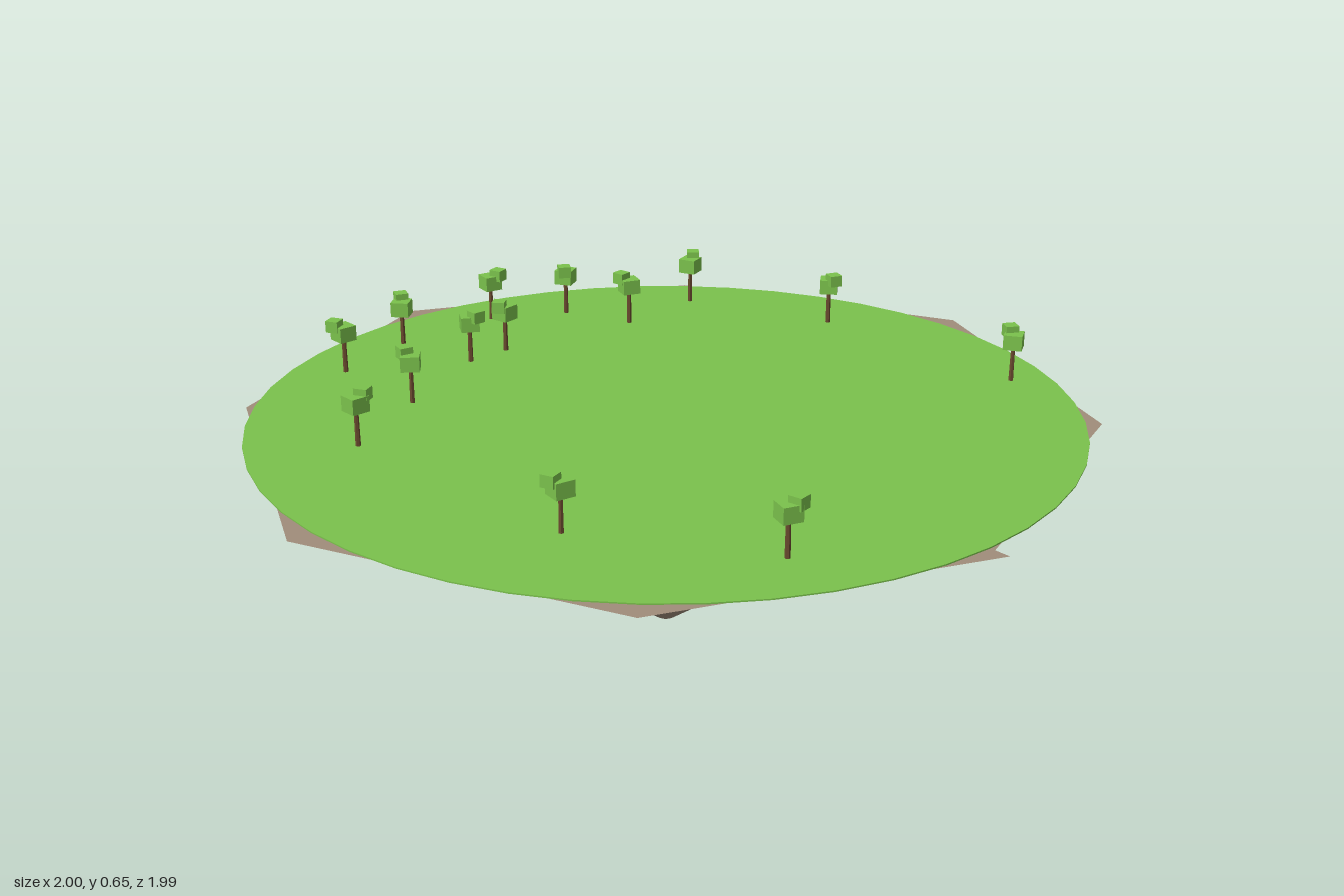
import * as THREE from 'three';

const rock = new THREE.MeshStandardMaterial({ color: 0xa08d7b, flatShading: true, side: THREE.DoubleSide });
rock.name = 'rock';
const grass = new THREE.MeshStandardMaterial({ color: 0x7bc24c, flatShading: true });
grass.name = 'grass';
const bark = new THREE.MeshStandardMaterial({ color: 0x6b4a2f, flatShading: true });
bark.name = 'bark';

function add(parent, name, geometry, material, x = 0, y = 0, z = 0) {
  const mesh = new THREE.Mesh(geometry, material);
  mesh.name = name;
  mesh.position.set(x, y, z);
  parent.add(mesh);
  return mesh;
}

// Eight-sided pointed underside; corners vary a little and the front seam is slightly open
function rockGeometry() {
  const profile = [[0, 0], [0.02, 0], [0.2, 0.13], [0.5, 0.32], [0.86, 0.45], [1, 0.51], [0, 0.51]];
  const spread = [0.955, 0.982, 1, 0.965, 1, 0.965, 1, 0.995, 0.992];
  const geometry = new THREE.LatheGeometry(profile.map(p => new THREE.Vector2(...p)), 8);
  const pos = geometry.attributes.position;
  const n = profile.length;
  for (let i = 0; i < pos.count; i++) {
    const s = spread[Math.floor(i / n)];
    pos.setX(i, pos.getX(i) * s);
    pos.setZ(i, pos.getZ(i) * s);
  }
  geometry.computeVertexNormals();
  return geometry;
}

// Thin trunk with a large and a small leaf block
function makeTree(x, z, turn, lean) {
  const tree = new THREE.Group();
  tree.name = 'tree';
  tree.position.set(x, 0.513, z);
  tree.rotation.y = turn;
  add(tree, 'trunk', new THREE.CylinderGeometry(0.005, 0.006, 0.09, 6), bark, 0, 0.045, 0);
  add(tree, 'leafBlock', new THREE.BoxGeometry(0.044, 0.036, 0.044), grass, 0, 0.1, 0);
  const top = add(tree, 'smallLeafBlock', new THREE.BoxGeometry(0.031, 0.028, 0.031), grass,
    lean[0], 0.119, lean[1]);
  top.rotation.y = 0.5;
  return tree;
}

export function createModel() {
  const model = new THREE.Group();
  model.name = 'floatingIsland';
  add(model, 'rockBase', rockGeometry(), rock);
  add(model, 'grassDisc', new THREE.CylinderGeometry(0.945, 0.945, 0.003, 48), grass, 0, 0.5125, 0);

  // Trees placed around the rim, thicker towards the back
  const spots = [
    [-0.385, -0.72], [-0.175, -0.78], [0.115, -0.8], [0.29, -0.71], [0.36, -0.54],
    [0.595, -0.565], [-0.118, -0.578], [-0.005, -0.585], [-0.385, -0.445], [-0.625, -0.31],
    [0.74, -0.2], [-0.58, 0.335], [0.755, 0.385], [-0.33, 0.715],
  ];
  spots.forEach(([x, z], i) => {
    const a = i * 2.4 + 3.6;
    model.add(makeTree(x, z, i * 0.7, [0.02 * Math.cos(a), 0.02 * Math.sin(a)]));
  });
  return model;
}
